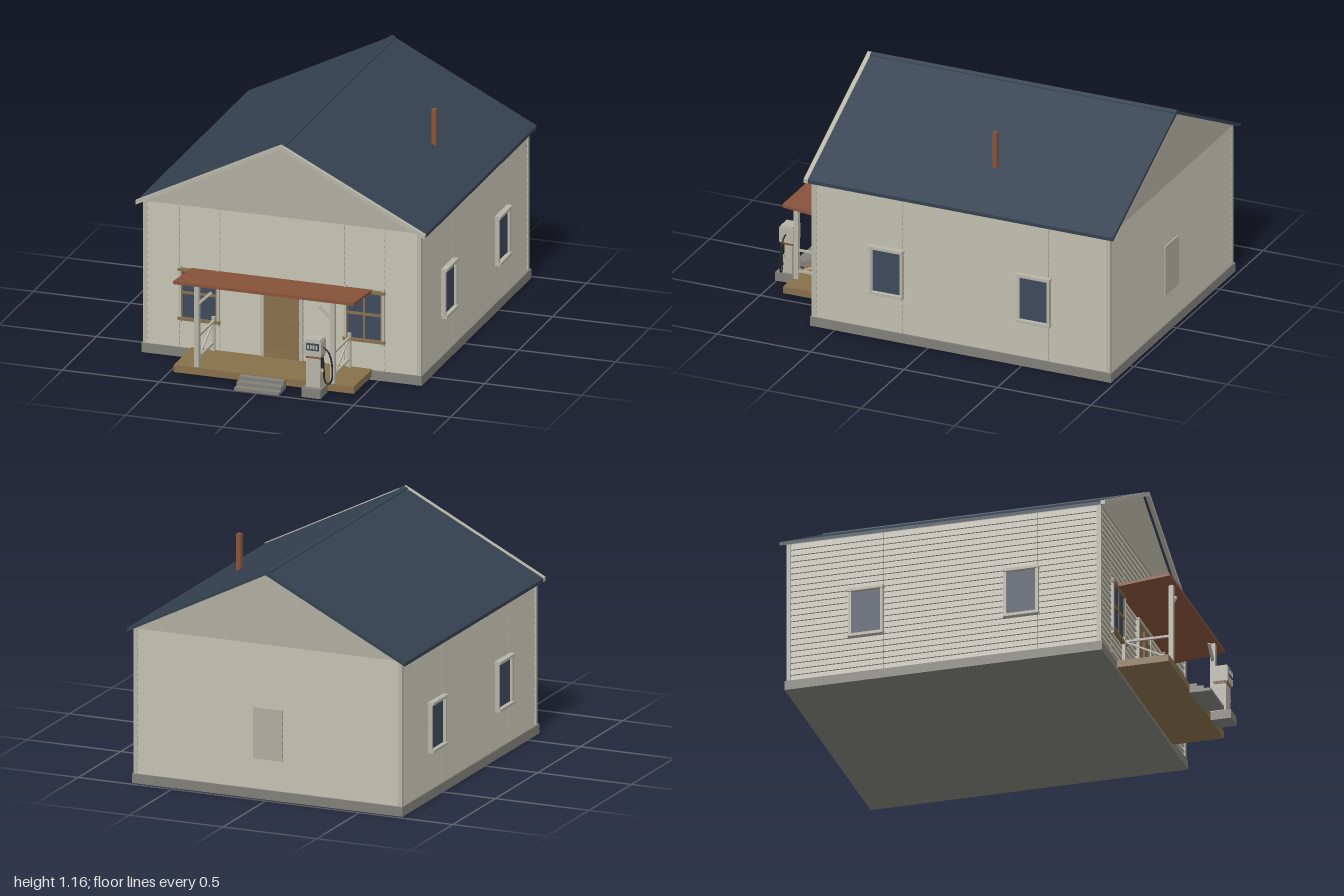
import * as THREE from 'three';

const mat = (name, color) => Object.assign(new THREE.MeshStandardMaterial({ color }), { name });

export function createModel() {
  const M = {
    wall: mat('weathered siding', 0xb0ad9f), trim: mat('pale trim', 0xb7b4a7),
    roof: mat('slate blue roof', 0x344150), rust: mat('rusty metal', 0x88533b),
    wood: mat('brown wood', 0x87704a), stone: mat('grey concrete', 0x807f78),
    glass: mat('window glass', 0x3d495b), black: mat('black rubber', 0x22252a),
  };
  const root = new THREE.Group();
  root.name = 'roadsideStore';

  const add = (parent, name, geo, material) => {
    const m = new THREE.Mesh(geo, material);
    m.name = name;
    parent.add(m);
    return m;
  };
  // box given by its limits on each axis
  const box = (parent, name, material, [x0, x1], [y0, y1], [z0, z1]) => {
    const m = add(parent, name, new THREE.BoxGeometry(x1 - x0, y1 - y0, z1 - z0), material);
    m.position.set((x0 + x1) / 2, (y0 + y1) / 2, (z0 + z1) / 2);
    return m;
  };
  // square bar between two points
  const bar = (parent, name, material, a, b, w) => {
    const p = new THREE.Vector3(...a), q = new THREE.Vector3(...b);
    const m = add(parent, name, new THREE.BoxGeometry(w, w, p.distanceTo(q)), material);
    m.position.copy(p).add(q).multiplyScalar(0.5);
    m.lookAt(q);
    return m;
  };
  const group = (name, parent = root) => {
    const g = new THREE.Group();
    g.name = name;
    parent.add(g);
    return g;
  };
  const extrude = (pts, depth) => new THREE.ExtrudeGeometry(
    new THREE.Shape(pts.map(p => new THREE.Vector2(...p))), { depth, bevelEnabled: false });

  // foundation and house core with plain gables
  box(root, 'foundation', M.stone, [-0.722, 0.722], [0, 0.048], [-0.98, 0.632]);
  const core = add(root, 'houseCore', extrude(
    [[-0.702, 0.04], [0.702, 0.04], [0.702, 0.786], [0, 1.144], [-0.702, 0.786]], 1.578), M.wall);
  core.position.z = -0.963;
  for (const [name, z] of [['frontGable', 0.613], ['backGable', -0.972]]) {
    add(root, name, extrude([[-0.712, 0.783], [0.712, 0.783], [0, 1.144]], 0.01), M.wall).position.z = z;
  }

  // clapboard siding: a sawtooth section swept along each wall, split at the seams
  const boards = 23, y0 = 0.048, pitch = (0.783 - y0) / boards;
  const section = [[-0.005, y0]];
  for (let i = 0; i < boards; i++) {
    section.push([0.011, y0 + i * pitch], [0.002, y0 + (i + 1) * pitch]);
  }
  section.push([-0.005, 0.783]);
  const siding = (name, angle, dist, seams) => {
    const g = group(name);
    g.rotation.y = angle;
    for (let i = 0; i < seams.length - 1; i++) {
      const m = add(g, 'clapboards', extrude(section, seams[i + 1] - seams[i] - 0.003), M.wall);
      m.position.set(dist, 0, seams[i] + 0.0015);
    }
  };
  siding('leftSiding', 0, 0.702, [-0.965, -0.64, 0.14, 0.615]);
  siding('rightSiding', Math.PI, 0.702, [-0.615, -0.3, 0.48, 0.965]);
  siding('frontSiding', -Math.PI / 2, 0.613, [-0.705, -0.53, -0.32, 0.32, 0.53, 0.705]);
  siding('backSiding', Math.PI / 2, 0.961, [-0.705, 0.705]);

  // corner boards
  for (const s of [-1, 1]) for (const z of [-0.962, 0.614]) {
    const m = box(root, 'cornerBoard', M.trim, [-0.01, 0.01], [0.048, 0.783], [z - 0.011, z + 0.011]);
    m.position.x = s * 0.706;
  }

  // main roof, ridge cap and front rake boards
  const chevron = (half, drop, apex, thick) => [
    [-half, apex - drop], [-half, apex - drop - thick], [0, apex - thick],
    [half, apex - drop - thick], [half, apex - drop], [0, apex]];
  add(root, 'roof', extrude(chevron(0.743, 0.374, 1.16, 0.018), 1.635), M.roof).position.z = -1;
  add(root, 'ridgeCap', extrude(chevron(0.018, 0.009, 1.165, 0.008), 1.635), M.roof).position.z = -1;
  add(root, 'rakeBoards', extrude(chevron(0.745, 0.375, 1.164, 0.021), 0.022), M.trim).position.z = 0.633;

  // stove pipe
  box(root, 'chimney', M.rust, [0.467, 0.491], [0.88, 1.1], [-0.262, -0.238]);

  // side windows
  for (const s of [-1, 1]) for (const z of [0.222, -0.566]) {
    const g = group('sideWindow');
    g.position.set(s * 0.71, 0, z);
    g.rotation.y = s * Math.PI / 2;
    box(g, 'glass', M.glass, [-0.08, 0.08], [0.25, 0.48], [0, 0.008]);
    for (const t of [-1, 1]) {
      box(g, 'jamb', M.trim, [-0.007, 0.007], [0.25, 0.48], [0, 0.022]).position.x = t * 0.081;
    }
    box(g, 'header', M.trim, [-0.09, 0.09], [0.478, 0.492], [0, 0.03]);
    box(g, 'sill', M.trim, [-0.09, 0.09], [0.236, 0.251], [0, 0.03]);
  }

  // boarded opening at the back
  box(root, 'backPanel', M.wall, [-0.078, 0.078], [0.2, 0.46], [-0.976, -0.968]);

  // front windows
  for (const s of [-1, 1]) {
    const g = group('frontWindow');
    g.position.set(s * 0.425, 0, 0.62);
    box(g, 'glass', M.glass, [-0.092, 0.092], [0.2, 0.45], [0, 0.007]);
    for (const t of [-1, 1]) {
      box(g, 'jamb', M.trim, [-0.006, 0.006], [0.2, 0.45], [0, 0.014]).position.x = t * 0.098;
      box(g, 'stile', M.wood, [-0.003, 0.003], [0.2, 0.45], [0, 0.012]).position.x = t * 0.089;
      box(g, 'sillBracket', M.trim, [-0.006, 0.006], [0.178, 0.194], [0, 0.014]).position.x = t * 0.098;
      box(g, 'headerEar', M.trim, [-0.006, 0.006], [0.46, 0.472], [0, 0.014]).position.x = t * 0.098;
    }
    box(g, 'header', M.wood, [-0.108, 0.108], [0.445, 0.46], [0, 0.018]);
    box(g, 'sill', M.wood, [-0.108, 0.108], [0.192, 0.207], [0, 0.02]);
    box(g, 'muntin', M.wood, [-0.004, 0.004], [0.2, 0.45], [0, 0.011]);
    box(g, 'middleRail', M.wood, [-0.092, 0.092], [0.329, 0.342], [0, 0.012]);
  }

  // front door with raised rails and pale frame
  const door = group('frontDoor');
  box(door, 'doorLeaf', M.wood, [-0.09, 0.09], [0.055, 0.432], [0.613, 0.628]);
  for (const y of [0.062, 0.09, 0.238, 0.368, 0.424]) {
    box(door, 'doorRail', M.wood, [-0.088, 0.088], [y - 0.008, y + 0.008], [0.62, 0.633]);
  }
  for (const x of [-0.08, 0, 0.08]) {
    box(door, 'doorStile', M.wood, [x - 0.007, x + 0.007], [0.056, 0.43], [0.62, 0.632]);
  }
  for (const s of [-1, 1]) {
    box(door, 'doorJamb', M.trim, [-0.009, 0.009], [0.055, 0.44], [0.613, 0.635]).position.x = s * 0.1;
  }
  box(door, 'doorHeader', M.trim, [-0.113, 0.113], [0.432, 0.444], [0.613, 0.638]);

  // porch: deck, steps, canopy rising outward, posts, braces and side rails
  const porch = group('porch');
  box(porch, 'deck', M.wood, [-0.465, 0.465], [0.018, 0.054], [0.625, 0.893]);
  [0.05, 0.034, 0.018].forEach((h, i) =>
    box(porch, 'step', M.stone, [-0.115, 0.115], [i ? 0.002 : 0.004, h], [0.893 + i * 0.0357, 0.929 + i * 0.0355]));
  const canopy = add(porch, 'canopy', extrude(
    [[0.622, 0.45], [0.898, 0.475], [0.898, 0.491], [0.622, 0.464]], 0.93), M.rust);
  canopy.rotation.y = -Math.PI / 2;
  canopy.position.x = 0.465;
  for (const s of [-1, 1]) {
    const x = s * 0.35;
    box(porch, 'post', M.trim, [x - 0.012, x + 0.012], [0.054, 0.474], [0.861, 0.885]);
    bar(porch, 'brace', M.trim, [x, 0.375, 0.873], [s * 0.278, 0.445, 0.873], 0.014);
    box(porch, 'wallPost', M.trim, [x - 0.008, x + 0.008], [0.054, 0.23], [0.623, 0.64]);
    for (const y of [0.095, 0.206]) bar(porch, 'rail', M.trim, [x, y, 0.63], [x, y, 0.87], 0.011);
    bar(porch, 'diagonalRail', M.trim, [x, 0.088, 0.865], [x, 0.203, 0.64], 0.008);
  }

  // fuel pump
  const pump = group('fuelPump');
  box(pump, 'pumpBase', M.stone, [0.232, 0.33], [0.01, 0.056], [0.895, 0.998]);
  box(pump, 'pumpBody', M.trim, [0.246, 0.318], [0.056, 0.207], [0.914, 0.97]);
  box(pump, 'pumpBand', M.rust, [0.243, 0.321], [0.207, 0.219], [0.911, 0.974]);
  box(pump, 'pumpHead', M.trim, [0.239, 0.325], [0.219, 0.296], [0.904, 0.98]);
  box(pump, 'pumpCap', M.trim, [0.244, 0.32], [0.296, 0.304], [0.909, 0.975]);
  box(pump, 'dialPlate', M.glass, [0.25, 0.315], [0.25, 0.287], [0.978, 0.983]);
  for (let i = 0; i < 4; i++) {
    box(pump, 'dial', M.trim, [0.256 + i * 0.0145, 0.265 + i * 0.0145], [0.259, 0.278], [0.98, 0.986]);
  }
  const hose = new THREE.CatmullRomCurve3([
    [0.323, 0.262], [0.345, 0.248], [0.365, 0.21], [0.374, 0.14], [0.37, 0.095],
    [0.352, 0.073], [0.337, 0.095], [0.333, 0.15], [0.328, 0.2],
  ].map(([x, y], i) => new THREE.Vector3(x, y, 0.945 + i * 0.002)));
  add(pump, 'hose', new THREE.TubeGeometry(hose, 40, 0.0045, 8), M.black);
  bar(pump, 'nozzle', M.black, [0.328, 0.155, 0.96], [0.326, 0.21, 0.96], 0.013);
  box(pump, 'nozzleHolder', M.trim, [0.316, 0.334], [0.14, 0.158], [0.95, 0.968]);

  return root;
}
